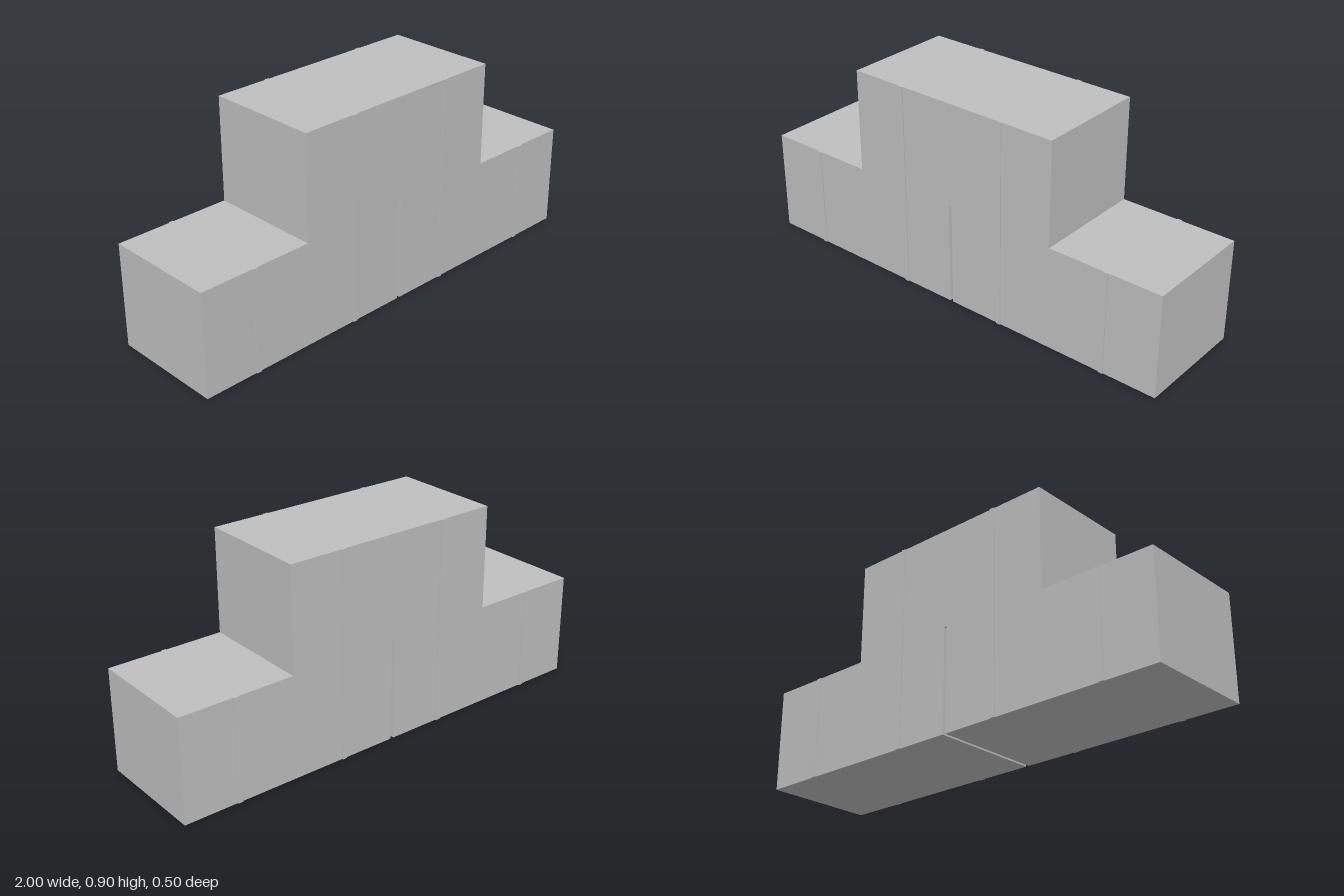
import * as THREE from 'three';

export function createModel() {
  const group = new THREE.Group();
  const grey = new THREE.MeshStandardMaterial({ color: 0xbfbfbf });
  grey.name = 'light grey';

  const depth = 0.494;
  const low = 0.45, high = 0.9;

  // Stepped block with a narrow slot rising from the base
  const slot = 0.007, slotTop = 0.455, step = 0.495;
  const outline = new THREE.Shape([
    [-1, 0], [-slot, 0], [-slot, slotTop], [slot, slotTop], [slot, 0], [1, 0],
    [1, low], [step, low], [step, high], [-step, high], [-step, low], [-1, low],
  ].map(([x, y]) => new THREE.Vector2(x, y)));
  const bodyGeometry = new THREE.ExtrudeGeometry(outline, { depth, bevelEnabled: false });
  bodyGeometry.translate(0, 0, -depth / 2);
  const body = new THREE.Mesh(bodyGeometry, grey);
  body.name = 'steppedBody';
  group.add(body);

  // Thin upright ribs on the front and back faces
  const ribWidth = 0.02, ribDepth = 0.005;
  for (const side of [1, -1]) {
    for (const [x, height] of [[-0.755, low], [-0.251, high], [0.251, high], [0.755, low]]) {
      const rib = new THREE.Mesh(new THREE.BoxGeometry(ribWidth, height, ribDepth), grey);
      rib.position.set(x, height / 2, side * (depth + ribDepth) / 2);
      rib.name = side > 0 ? 'frontRib' : 'backRib';
      group.add(rib);
    }
  }
  return group;
}
